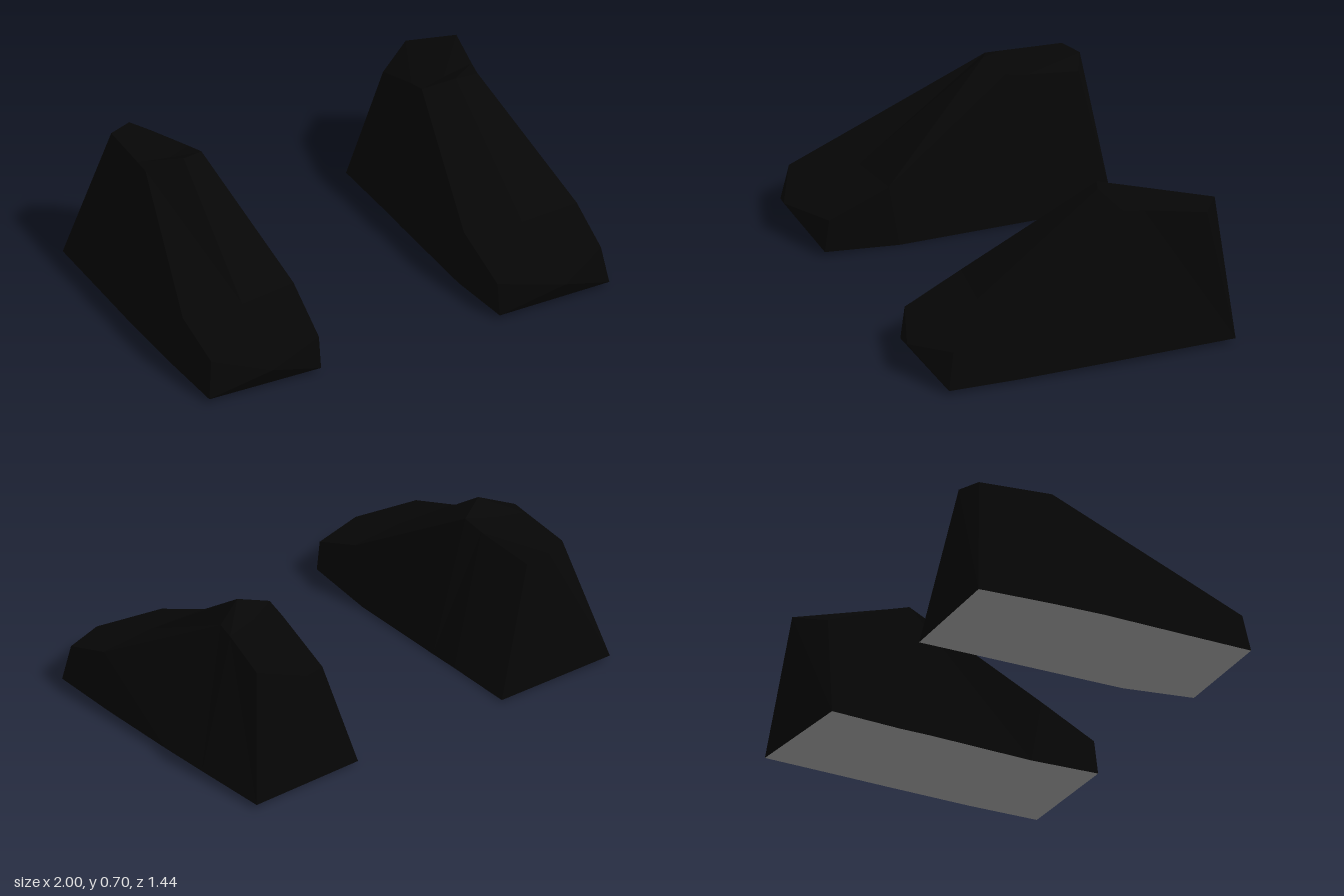
import * as THREE from 'three';

const black = new THREE.MeshStandardMaterial({ color: 0x060606, flatShading: true });
black.name = 'black leather';
const grey = new THREE.MeshStandardMaterial({ color: 0xaaaaaa, flatShading: true });
grey.name = 'grey sole';

// Cross-sections from toe to heel: bottom inner, top inner, ridge, top outer, bottom outer
const toe = [[0.44, 0.02, 0.64], [0.44, 0.17, 0.62], [0.72, 0.14, 0.72], [0.96, 0.19, 0.6], [0.985, 0.02, 0.63]];
const instep = [[0.42, 0, 0.3], [0.42, 0.29, 0.35], [0.69, 0.28, 0.38], [0.97, 0.28, 0.36], [0.995, 0.02, 0.3]];
const leftSections = [
  toe,
  instep,
  [[0.41, 0.005, -0.2], [0.53, 0.66, -0.24], [0.67, 0.7, -0.19], [0.81, 0.65, -0.25], [1, 0.025, -0.1]],
  [[0.41, 0.005, -0.35], [0.535, 0.63, -0.34], [0.67, 0.645, -0.3], [0.83, 0.643, -0.34], [0.995, 0.025, -0.35]],
  [[0.4, 0.01, -0.69], [0.55, 0.52, -0.63], [0.71, 0.58, -0.72], [0.9, 0.615, -0.61], [0.98, 0.02, -0.71]],
];
const rightSections = [
  toe,
  instep,
  [[0.41, 0.005, -0.2], [0.55, 0.665, -0.25], [0.67, 0.7, -0.19], [0.82, 0.64, -0.26], [1, 0.025, -0.1]],
  [[0.41, 0.005, -0.35], [0.56, 0.64, -0.35], [0.68, 0.645, -0.3], [0.815, 0.638, -0.34], [0.995, 0.025, -0.35]],
  [[0.4, 0.01, -0.69], [0.605, 0.585, -0.61], [0.69, 0.63, -0.65], [0.8, 0.63, -0.61], [0.985, 0.02, -0.71]],
];

// Builds a mesh from triangles, mirrored in x when side is -1
function facetMesh(name, triangles, material, side) {
  const points = triangles.flatMap(([a, b, c]) => (side > 0 ? [a, b, c] : [a, c, b]));
  const geometry = new THREE.BufferGeometry();
  const positions = points.flatMap(([x, y, z]) => [x * side, y, z]);
  geometry.setAttribute('position', new THREE.Float32BufferAttribute(positions, 3));
  geometry.computeVertexNormals();
  const mesh = new THREE.Mesh(geometry, material);
  mesh.name = name;
  return mesh;
}

function createShoe(name, sections, side) {
  const upper = [];
  const sole = [];
  // Skin between neighbouring sections; the last strip is the underside
  for (let s = 0; s < sections.length - 1; s++) {
    const a = sections[s];
    const b = sections[s + 1];
    for (let i = 0; i < 5; i++) {
      const j = (i + 1) % 5;
      (i === 4 ? sole : upper).push([a[i], a[j], b[j]], [a[i], b[j], b[i]]);
    }
  }
  // Toe and heel faces fan out from the ridge
  const heel = sections[sections.length - 1];
  for (const [i, j] of [[1, 0], [0, 4], [4, 3]]) {
    upper.push([toe[2], toe[i], toe[j]], [heel[2], heel[j], heel[i]]);
  }
  const shoe = new THREE.Group();
  shoe.name = name;
  shoe.add(facetMesh('upper', upper, black, side), facetMesh('sole', sole, grey, side));
  return shoe;
}

export function createModel() {
  const model = new THREE.Group();
  model.name = 'pair of shoes';
  model.add(createShoe('leftShoe', leftSections, 1), createShoe('rightShoe', rightSections, -1));
  return model;
}
